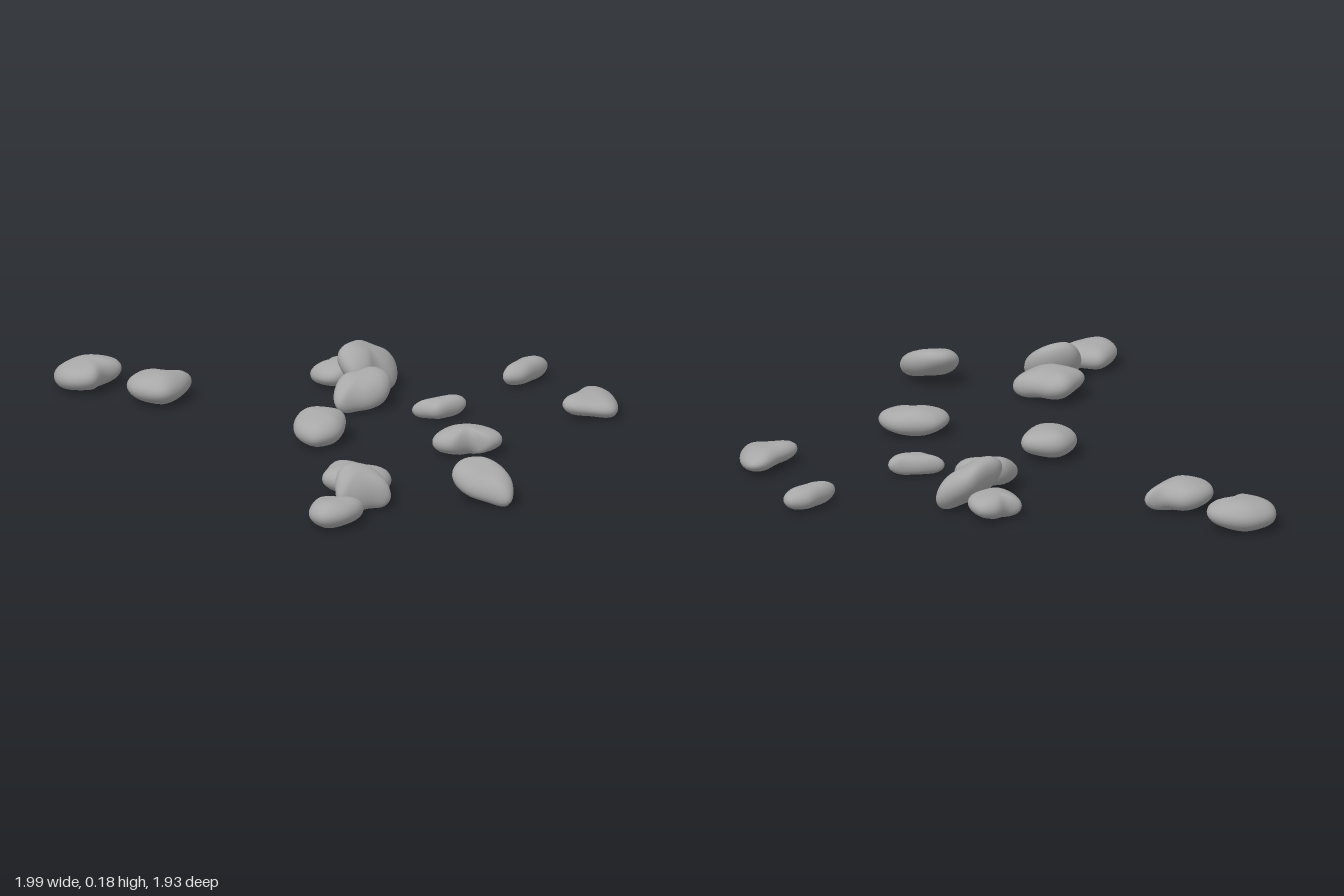
import * as THREE from 'three';
import { mergeVertices } from 'three/addons/utils/BufferGeometryUtils.js';

const AROUND = 40, UP = 20;

// A smooth pebble: outline is its plan as [x, z] pairs in hundredths, clockwise from above.
// height is its full height, slopeX / slopeZ tip the slab before it is fitted to that height.
function pebbleGeometry(outline, height, slopeX, slopeZ, seed) {
  const n = outline.length / 2;
  const points = [];
  for (let i = 0; i < n; i++) {
    points.push(new THREE.Vector3(outline[2 * i] / 100, 0, outline[2 * i + 1] / 100));
  }
  const curve = new THREE.CatmullRomCurve3(points, true, 'centripetal');
  const plan = curve.getSpacedPoints(AROUND).slice(0, AROUND);
  const centre = plan.reduce((sum, p) => sum.add(p), new THREE.Vector3()).divideScalar(AROUND);

  const pos = [];
  for (let j = 0; j <= UP; j++) {
    const angle = (j / UP - 0.5) * Math.PI;
    const reach = Math.pow(Math.max(0, Math.cos(angle)), 0.75);
    for (const p of plan) {
      const dx = (p.x - centre.x) * reach;
      const dz = (p.z - centre.z) * reach;
      // Gentle worn bumps
      const bump = 1 + 0.07 * Math.sin(dx * 32 + seed * 2.1) * Math.cos(dz * 28 + seed * 1.3);
      const y = height * 0.5 * Math.sin(angle) * bump + slopeX * dx + slopeZ * dz;
      pos.push(centre.x + dx, y, centre.z + dz);
    }
  }
  // Fit the tipped slab between the ground and its height
  let low = Infinity, high = -Infinity;
  for (let i = 1; i < pos.length; i += 3) {
    low = Math.min(low, pos[i]);
    high = Math.max(high, pos[i]);
  }
  for (let i = 1; i < pos.length; i += 3) pos[i] = (pos[i] - low) / (high - low) * height;

  const index = [];
  for (let j = 0; j < UP; j++) {
    for (let i = 0; i < AROUND; i++) {
      const a = j * AROUND + i, b = j * AROUND + (i + 1) % AROUND;
      const c = a + AROUND, d = b + AROUND;
      if (j > 0) index.push(a, c, b);
      if (j < UP - 1) index.push(b, c, d);
    }
  }
  const geometry = new THREE.BufferGeometry();
  geometry.setAttribute('position', new THREE.Float32BufferAttribute(pos, 3));
  geometry.setIndex(index);
  const merged = mergeVertices(geometry, 1e-5);
  merged.computeVertexNormals();
  return merged;
}

export function createModel() {
  const group = new THREE.Group();
  group.name = 'scatteredStones';
  const stoneGrey = new THREE.MeshStandardMaterial({ color: 0xa8a8a8 });
  stoneGrey.name = 'stoneGrey';

  let seed = 0;
  const stone = (name, height, outline, slopeX = 0, slopeZ = 0) => {
    const mesh = new THREE.Mesh(pebbleGeometry(outline, height, slopeX, slopeZ, ++seed), stoneGrey);
    mesh.name = name;
    group.add(mesh);
  };

  // Pair on the right-hand side
  stone('outerRightStone', 0.11, [-100, -61, -95, -69, -86, -72, -79, -70, -77, -64, -82, -58, -85, -51, -92, -50, -98, -54], 0.08);
  stone('innerRightStone', 0.11, [-73, -47, -71, -54, -66, -58, -58, -57, -52, -59, -52, -53, -54, -45, -58, -39, -62, -38, -70, -41], -0.05);

  // Back cluster, with one slab leaning on its neighbour
  stone('backClusterStone', 0.09, [-12, -75, -8, -79, -6, -84, -1, -87, 4, -84, 6, -79, 3, -72, -2, -67, -7, -68], 0.1);
  stone('leaningSlab', 0.18, [-1, -63, 1, -71, 5, -79, 12, -81, 17, -81, 18, -71, 13, -66, 10, -59, 5, -57], -0.7, -0.15);
  stone('frontClusterStone', 0.13, [0, -43, 1, -51, 6, -55, 13, -60, 18, -58, 18, -50, 14, -45, 8, -42, 2, -39], -0.15, -0.4);

  // Loose stones at the back left
  stone('backLeftStone', 0.08, [55, -80, 57, -87, 60, -94, 66, -97, 69, -94, 66, -86, 62, -79, 56, -77]);
  stone('smallStone', 0.075, [28, -39, 33, -44, 39, -47, 45, -49, 46, -45, 42, -40, 37, -36, 33, -37], 0.05);
  stone('triangularStone', 0.085, [80, -45, 83, -54, 86, -63, 90, -65, 95, -61, 99, -50, 98, -44, 90, -42, 82, -42], -0.12);

  // Middle stones
  stone('middleStone', 0.11, [-10, -10, -8, -17, -2, -20, 6, -19, 8, -10, 6, -2, -1, 3, -8, -2], 0, -0.1);
  stone('kidneyStone', 0.1, [40, 2, 42, -5, 49, -9, 56, -10, 62, -7, 64, -2, 60, 3, 54, 2, 47, 7, 41, 5]);

  // Front row, with one stone propped on another
  stone('frontRowBackStone', 0.11, [8, 50, 10, 42, 15, 40, 22, 42, 30, 44, 31, 48, 28, 57, 22, 60, 14, 59, 8, 56], -0.1);
  stone('proppedStone', 0.155, [14, 66, 18, 61, 24, 59, 30, 61, 33, 65, 27, 69, 21, 73, 16, 75], -0.4, -0.6);
  stone('frontRowStone', 0.095, [7, 87, 9, 78, 14, 77, 25, 80, 25, 84, 20, 93, 13, 96, 8, 92]);
  stone('tiltedStone', 0.14, [53, 53, 55, 46, 61, 43, 69, 45, 74, 51, 74, 60, 67, 60, 58, 58], -0.25, -0.5);

  return group;
}
